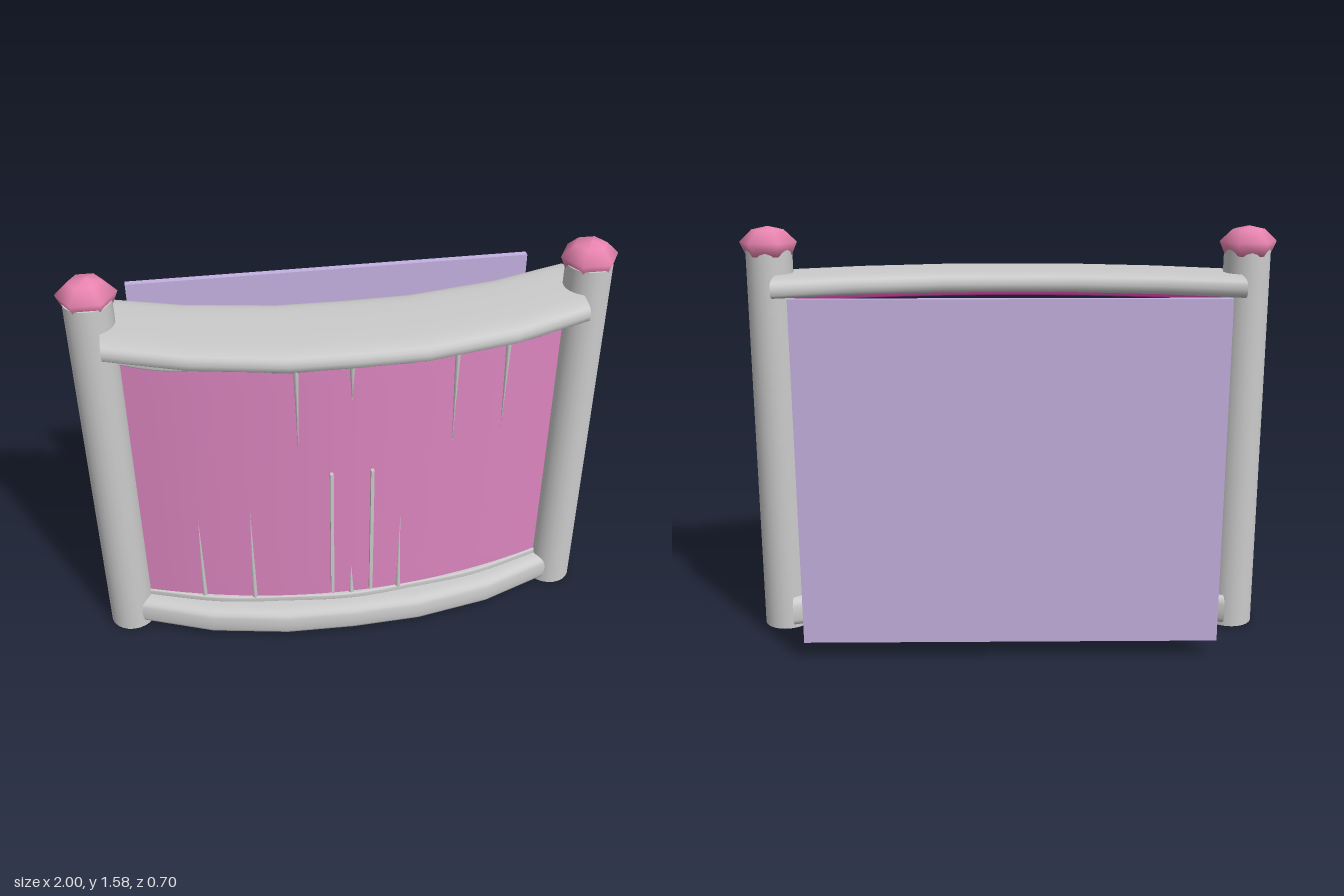
import * as THREE from 'three';

const mat = (color) => new THREE.MeshStandardMaterial({ color, side: THREE.DoubleSide, roughness: 0.8 });

// Sweeps a rounded-box section along x. stations: [x, back z, front z];
// power sets how square the section is, wave(x) shifts its lower edge.
function sweep(stations, y0, y1, power = 4, wave = () => 0, n = 24) {
  const pos = [], idx = [];
  const root = (v) => Math.sign(v) * Math.pow(Math.abs(v), 2 / power);
  const ring = ([x, back, front]) => {
    for (let j = 0; j < n; j++) {
      const a = (j / n) * Math.PI * 2;
      const low = y0 + wave(x);
      const z = (back + front) / 2 + root(Math.cos(a)) * (front - back) / 2;
      pos.push(x, (low + y1) / 2 + root(Math.sin(a)) * (y1 - low) / 2, z);
    }
  };
  stations.forEach(ring);
  for (let i = 0; i < stations.length - 1; i++) {
    for (let j = 0; j < n; j++) {
      const a = i * n + j, b = i * n + (j + 1) % n;
      idx.push(a, a + n, b + n, a, b + n, b);
    }
  }
  // flat ends with their own vertices, so the rim stays sharp
  [stations[0], stations[stations.length - 1]].forEach((s, end) => {
    const base = pos.length / 3;
    ring(s);
    for (let j = 1; j < n - 1; j++) {
      if (end) idx.push(base, base + j + 1, base + j);
      else idx.push(base, base + j, base + j + 1);
    }
  });
  const g = new THREE.BufferGeometry();
  g.setAttribute('position', new THREE.Float32BufferAttribute(pos, 3));
  g.setIndex(idx);
  g.computeVertexNormals();
  return g;
}

// Plan curve of the curtain
const curtainZ = (x) => 0.18 - 0.14 * Math.pow(x / 0.81, 2);
const along = (back, front, count = 24) => Array.from({ length: count + 1 }, (_, i) => {
  const x = -0.81 + (1.62 * i) / count;
  return [x, curtainZ(x) + back, curtainZ(x) + front];
});

export function createModel() {
  const group = new THREE.Group();
  const grey = mat(0xcccccc), pink = mat(0xdc86c0), magenta = mat(0xb0358c);
  const rose = mat(0xe884b0), lilac = mat(0xc4b0e0), teal = mat(0x2f6f80);
  const add = (name, geometry, material, x = 0, y = 0, z = 0) => {
    const m = new THREE.Mesh(geometry, material);
    m.name = name;
    m.position.set(x, y, z);
    group.add(m);
    return m;
  };

  // Posts with six-sided caps
  const capProfile = [[0, 1.475], [0.085, 1.475], [0.107, 1.525], [0.06, 1.57], [0, 1.583]]
    .map(([r, y]) => new THREE.Vector2(r, y));
  for (const s of [-1, 1]) {
    const side = s > 0 ? 'left' : 'right';
    add(side + 'Post', new THREE.CylinderGeometry(0.086, 0.09, 1.5, 24), grey, s * 0.893, 0.75, 0.012);
    add(side + 'PostCap', new THREE.LatheGeometry(capProfile, 6, Math.PI / 2), rose, s * 0.893, 0, 0.005);
  }

  // Bowed beams above and below the curtain
  const mirrored = (half) => [
    ...half.slice(1).reverse().map(([x, b, f]) => [-x, b, f]), ...half];
  add('topBeam', sweep(mirrored([
    [0, -0.04, 0.35], [0.24, -0.045, 0.345], [0.57, -0.1, 0.28], [0.86, -0.19, 0.175],
  ]), 1.33, 1.41, 3.6), grey);
  add('bottomBeam', sweep(mirrored([
    [0, 0.06, 0.265], [0.27, 0.055, 0.255], [0.57, 0.0, 0.2], [0.855, -0.1, 0.09],
  ]), 0.01, 0.135, 3.6), grey);

  // Curtain and its trims
  add('curtain', sweep(along(-0.012, 0), 0.12, 1.28, 12), pink);
  add('topTrim', sweep(along(-0.03, 0.01, 48), 1.245, 1.285, 5,
    (x) => 0.008 * Math.cos(x * 14)), grey);
  add('topRibbon', sweep(along(-0.03, 0.01), 1.3, 1.328, 5), magenta);
  add('bottomTrim', sweep(along(-0.02, 0.012, 48).map(([x, b, f]) =>
    [x, b, f + 0.004 * Math.cos(x * 12)]), 0.13, 0.157, 5), grey);

  // Narrow folds: spikes tapering away from the trims
  const spike = (name, x, from, to) => {
    const h = Math.abs(to - from);
    const m = add(name, new THREE.ConeGeometry(0.011, h, 6), grey, x, (from + to) / 2, curtainZ(x));
    if (to < from) m.rotation.x = Math.PI;
  };
  [[-0.2, 0.88], [0, 1.1], [0.39, 0.83], [0.59, 0.86]].forEach(([x, y]) => spike('upperFold', x, 1.25, y));
  [[-0.59, 0.55], [-0.39, 0.6], [0, 0.3], [0.195, 0.52]].forEach(([x, y]) => spike('lowerFold', x, 0.15, y));

  // Two upright rods at the middle
  for (const s of [-1, 1]) {
    add('middleRod', new THREE.BoxGeometry(0.013, 0.605, 0.016), grey, s * 0.078, 0.48, 0.19);
  }

  // Free-standing back panel with a shallow plate on its front face
  add('backPanel', new THREE.BoxGeometry(1.55, 1.295, 0.026), lilac, -0.003, 0.717, -0.337);
  const plate = add('panelPlate', new THREE.SphereGeometry(1, 12, 8), teal, -0.005, 0.695, -0.322);
  plate.scale.set(0.145, 0.135, 0.012);

  return group;
}
